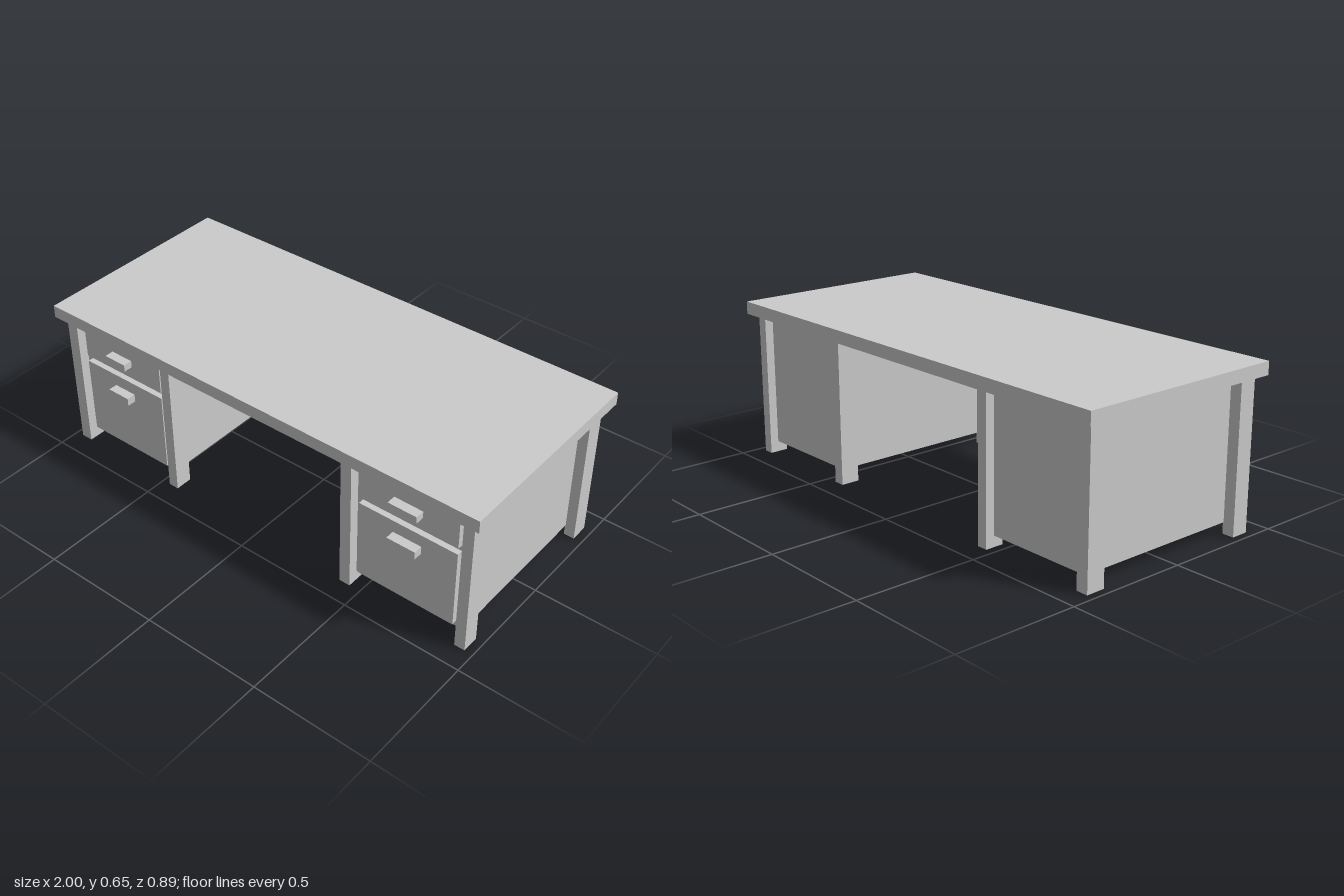
import * as THREE from 'three';

const material = new THREE.MeshStandardMaterial({ color: 0xcccccc });

// Box given by its lower and upper limits on each axis
function box(parent, name, [x0, x1], [y0, y1], [z0, z1]) {
  const mesh = new THREE.Mesh(new THREE.BoxGeometry(x1 - x0, y1 - y0, z1 - z0), material);
  mesh.position.set((x0 + x1) / 2, (y0 + y1) / 2, (z0 + z1) / 2);
  mesh.name = name;
  parent.add(mesh);
}

const TOP_UNDERSIDE = 0.598;

// Drawer pedestal: legs at the corners, a recessed cabinet, two drawers with pulls
function pedestal(name, legsX, drawerX, handleX) {
  const group = new THREE.Group();
  group.name = name;

  for (const x of legsX) {
    box(group, 'frontLeg', x, [0, TOP_UNDERSIDE], [0.338, 0.41]);
    box(group, 'backLeg', x, [0, TOP_UNDERSIDE], [-0.408, -0.33]);
  }

  // Cabinet between the legs
  box(group, 'cabinet', [legsX[0][1] - 0.003, legsX[1][0] + 0.003], [0.045, TOP_UNDERSIDE], [-0.372, 0.368]);

  const drawers = [
    { label: 'upper', y: [0.433, 0.577], handleY: [0.488, 0.517] },
    { label: 'lower', y: [0.07, 0.406], handleY: [0.322, 0.355] },
  ];
  for (const { label, y, handleY } of drawers) {
    box(group, label + 'DrawerFront', drawerX, y, [0.36, 0.392]);
    box(group, label + 'DrawerHandle', handleX, handleY, [0.385, 0.43]);
  }
  return group;
}

export function createModel() {
  const desk = new THREE.Group();
  desk.name = 'desk';

  box(desk, 'deskTop', [-1, 1], [TOP_UNDERSIDE, 0.65], [-0.443, 0.443]);

  desk.add(
    pedestal('rightPedestal', [[-0.968, -0.918], [-0.465, -0.421]], [-0.893, -0.49], [-0.743, -0.641]),
    pedestal('leftPedestal', [[0.405, 0.452], [0.921, 0.965]], [0.475, 0.896], [0.625, 0.747]),
  );
  return desk;
}
